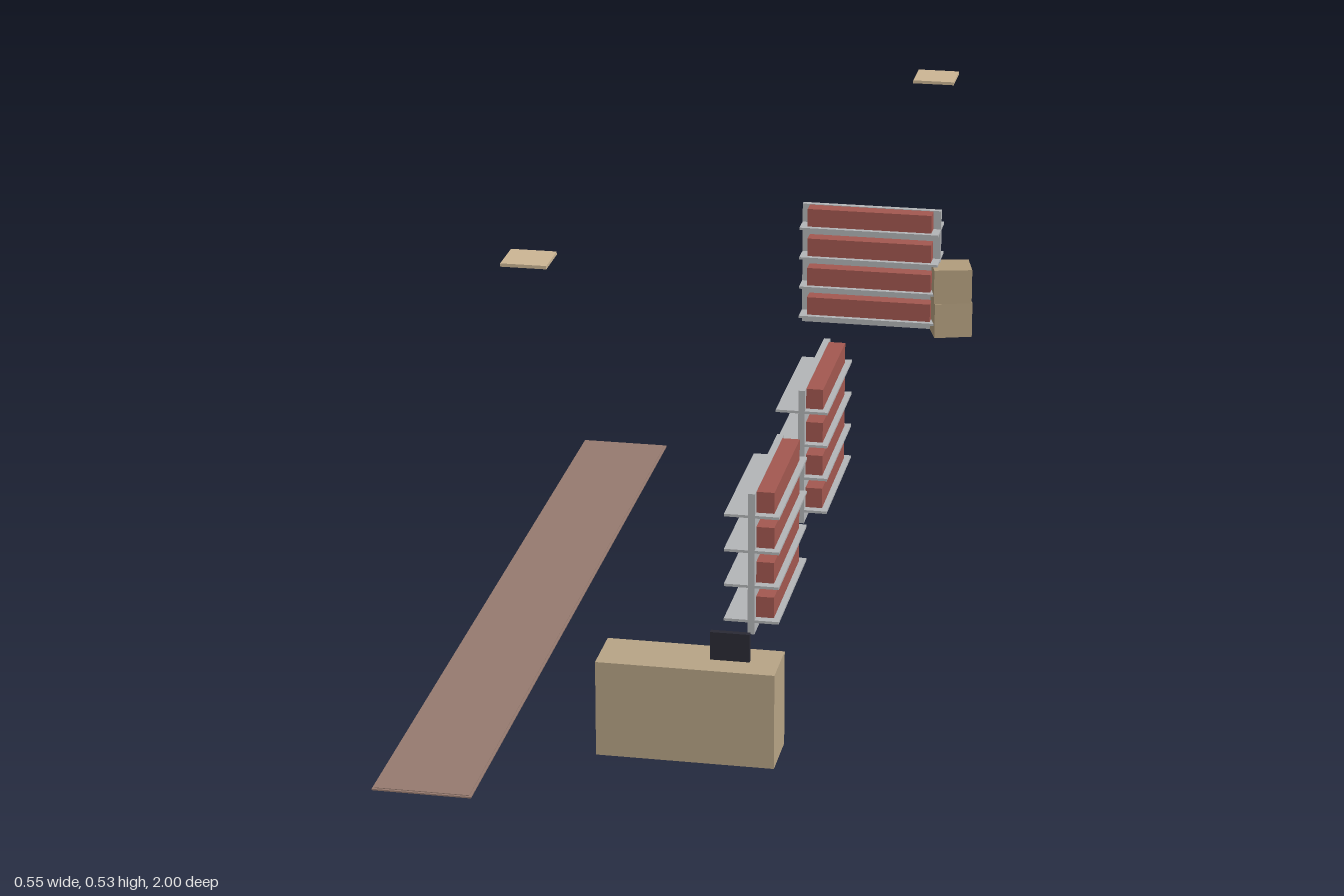
import * as THREE from 'three';

const mat = (name, color) => {
  const m = new THREE.MeshStandardMaterial({ color });
  m.name = name;
  return m;
};

export function createModel() {
  const grey = mat('shelf grey', 0xb3b5b7);
  const red = mat('goods red', 0xa35850);
  const tan = mat('counter tan', 0xb7a486);
  const carton = mat('carton tan', 0xb09c7c);
  const cream = mat('panel cream', 0xcbb594);
  const brown = mat('walkway brown', 0x967a6f);
  const dark = mat('screen dark', 0x2a2a34);

  const model = new THREE.Group();
  model.name = 'shopFloor';

  // Box given by its size, centre x/z and bottom height
  const box = (parent, name, material, w, h, d, x, y, z) => {
    const mesh = new THREE.Mesh(new THREE.BoxGeometry(w, h, d), material);
    mesh.name = name;
    mesh.position.set(x, y + h / 2, z);
    parent.add(mesh);
    return mesh;
  };

  // Double-sided shelf rack; goods stand on its local +z side only
  const addRack = (name, x, z, turn) => {
    const rack = new THREE.Group();
    rack.name = name;
    box(rack, 'backPanel', grey, 0.243, 0.217, 0.01, 0, 0, 0);
    for (let i = 0; i < 4; i++) {
      const top = 0.022 + i * 0.054;
      for (const side of [-1, 1]) {
        box(rack, 'shelf', grey, 0.243, 0.004, 0.035, 0, top - 0.004, side * 0.0225);
      }
      box(rack, 'goods', red, 0.217, 0.032, 0.026, 0, top, 0.018);
    }
    rack.position.set(x, 0, z);
    rack.rotation.y = turn;
    model.add(rack);
  };
  addRack('backRack', 0.0925, -0.96, 0);
  addRack('middleRack', 0.125, -0.147, Math.PI / 2);
  addRack('frontRack', 0.125, 0.284, Math.PI / 2);

  // Walkway strip with a slightly inset upper layer
  box(model, 'walkwayBase', brown, 0.135, 0.002, 1.308, -0.2095, 0, 0.346);
  box(model, 'walkwayTop', brown, 0.129, 0.001, 1.302, -0.2095, 0.002, 0.346);

  // Counter with a small screen
  box(model, 'counter', tan, 0.243, 0.136, 0.081, 0.1125, 0, 0.798);
  box(model, 'screen', dark, 0.054, 0.04, 0.008, 0.167, 0.136, 0.798);

  // Stacked cartons, each turned a little
  box(model, 'lowerCarton', carton, 0.066, 0.062, 0.06, 0.235, 0, -0.947).rotation.y = 0.3;
  box(model, 'upperCarton', carton, 0.066, 0.061, 0.06, 0.235, 0.062, -0.947).rotation.y = 0.24;

  // Hanging ceiling panels
  box(model, 'ceilingPanel', cream, 0.067, 0.005, 0.067, -0.2095, 0.526, 0.344);
  box(model, 'ceilingPanel', cream, 0.067, 0.005, 0.067, 0.2335, 0.526, -0.704);

  return model;
}
